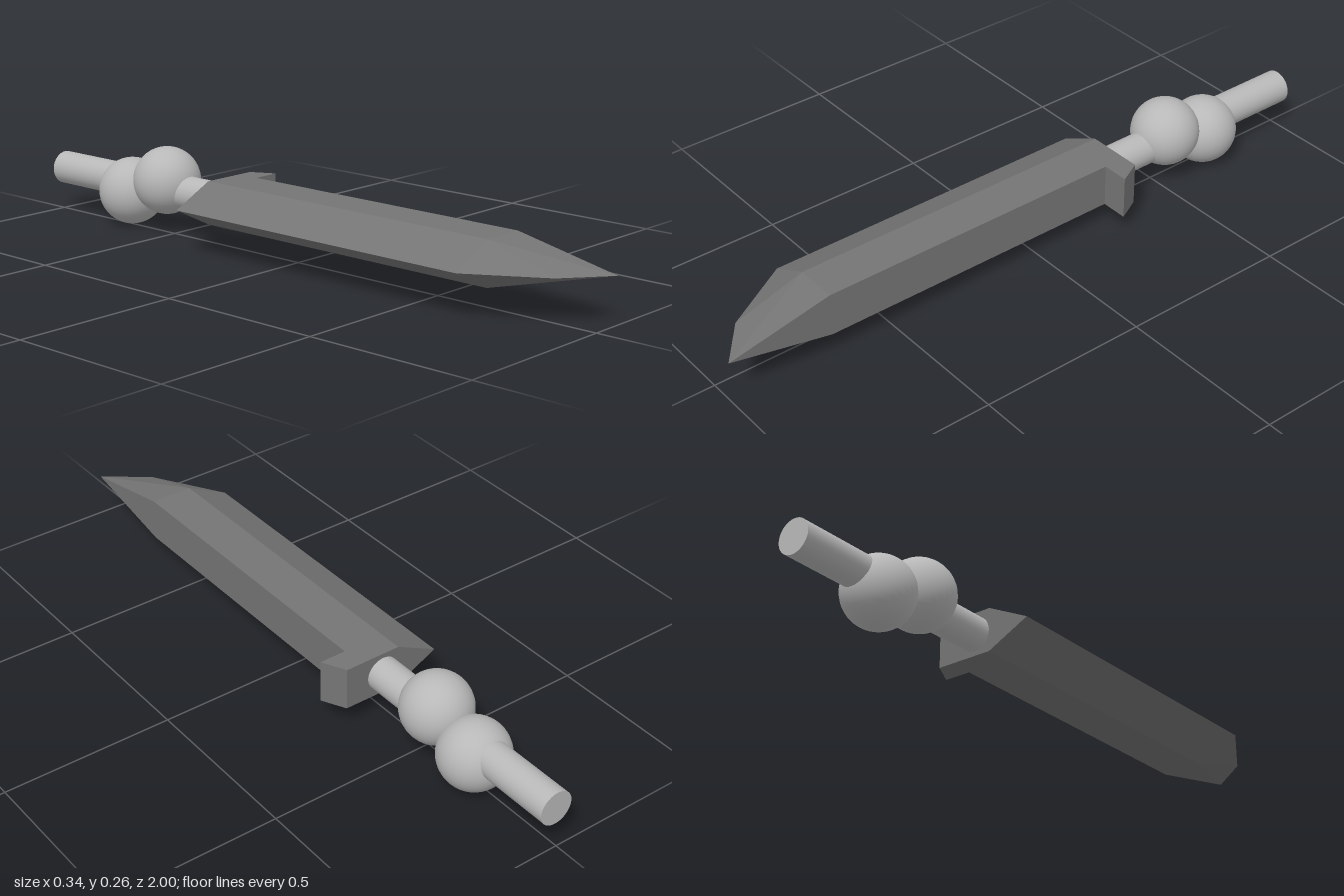
import * as THREE from 'three';

const GRIP_X = 0.011, MID_Y = 0.129, LOW = 0.065, HIGH = 0.193, BACK = -0.315;

// Flat-faced solid lofted through cross-sections listed counter-clockwise seen from +z
function loft(sections) {
  const pos = [];
  const tri = (a, b, c) => {
    const area = new THREE.Triangle(...[a, b, c].map(p => new THREE.Vector3(...p))).getArea();
    if (area > 1e-6) pos.push(...a, ...b, ...c);
  };
  for (let s = 0; s < sections.length - 1; s++) {
    const a = sections[s], b = sections[s + 1];
    for (let i = 0; i < a.length; i++) {
      const j = (i + 1) % a.length;
      // Mirror the diagonals so the upper and lower faces match
      if (i < 2) {
        tri(a[i], a[j], b[j]);
        tri(a[i], b[j], b[i]);
      } else {
        tri(a[i], a[j], b[i]);
        tri(a[j], b[j], b[i]);
      }
    }
  }
  // Rear cap
  const r = sections[0];
  for (let i = 1; i < r.length - 1; i++) tri(r[0], r[i + 1], r[i]);
  const geo = new THREE.BufferGeometry();
  geo.setAttribute('position', new THREE.Float32BufferAttribute(pos, 3));
  geo.computeVertexNormals();
  return geo;
}

export function createModel() {
  const model = new THREE.Group();
  const gripMat = new THREE.MeshStandardMaterial({ color: 0xb8b8b8 });
  const bladeMat = new THREE.MeshStandardMaterial({ color: 0x757575, flatShading: true });
  const add = (name, geo, mat, x = 0, y = 0, z = 0) => {
    const mesh = new THREE.Mesh(geo, mat);
    mesh.name = name;
    mesh.position.set(x, y, z);
    model.add(mesh);
  };

  // Blade: cutting edge on -x, flat spine on +x, tip pinched to the middle plane
  const EDGE = -0.168, RIDGE = -0.04, SPINE = 0.087;
  const section = z => [
    [EDGE, MID_Y, z], [RIDGE, LOW, z], [SPINE, LOW, z], [SPINE, HIGH, z], [RIDGE, HIGH, z],
  ];
  const edgeTip = [EDGE, MID_Y, 0.69], ridgeTip = [RIDGE, MID_Y, 0.9], point = [SPINE, MID_Y, 1];
  add('blade', loft([section(BACK), section(0.69), [edgeTip, ridgeTip, point, point, ridgeTip]]), bladeMat);

  // Guard hook: slanted block beside the rear of the spine
  const hook = new THREE.Shape([
    [SPINE, -BACK], [SPINE, 0.245], [0.168, 0.245], [0.132, -BACK],
  ].map(p => new THREE.Vector2(...p)));
  const hookGeo = new THREE.ExtrudeGeometry(hook, { depth: HIGH - LOW, bevelEnabled: false });
  hookGeo.rotateX(-Math.PI / 2);
  add('guardHook', hookGeo, bladeMat, 0, LOW, 0);

  // Handle rod
  const length = 1 + BACK;
  const rod = new THREE.CylinderGeometry(0.05, 0.05, length, 32);
  rod.rotateX(Math.PI / 2);
  add('handle', rod, gripMat, GRIP_X, MID_Y, BACK - length / 2);

  // Two offset grip balls
  const ball = new THREE.SphereGeometry(0.101, 32, 24);
  add('frontGripBall', ball, gripMat, GRIP_X, 0.155, -0.54);
  add('rearGripBall', ball, gripMat, GRIP_X, 0.101, -0.693);

  return model;
}
